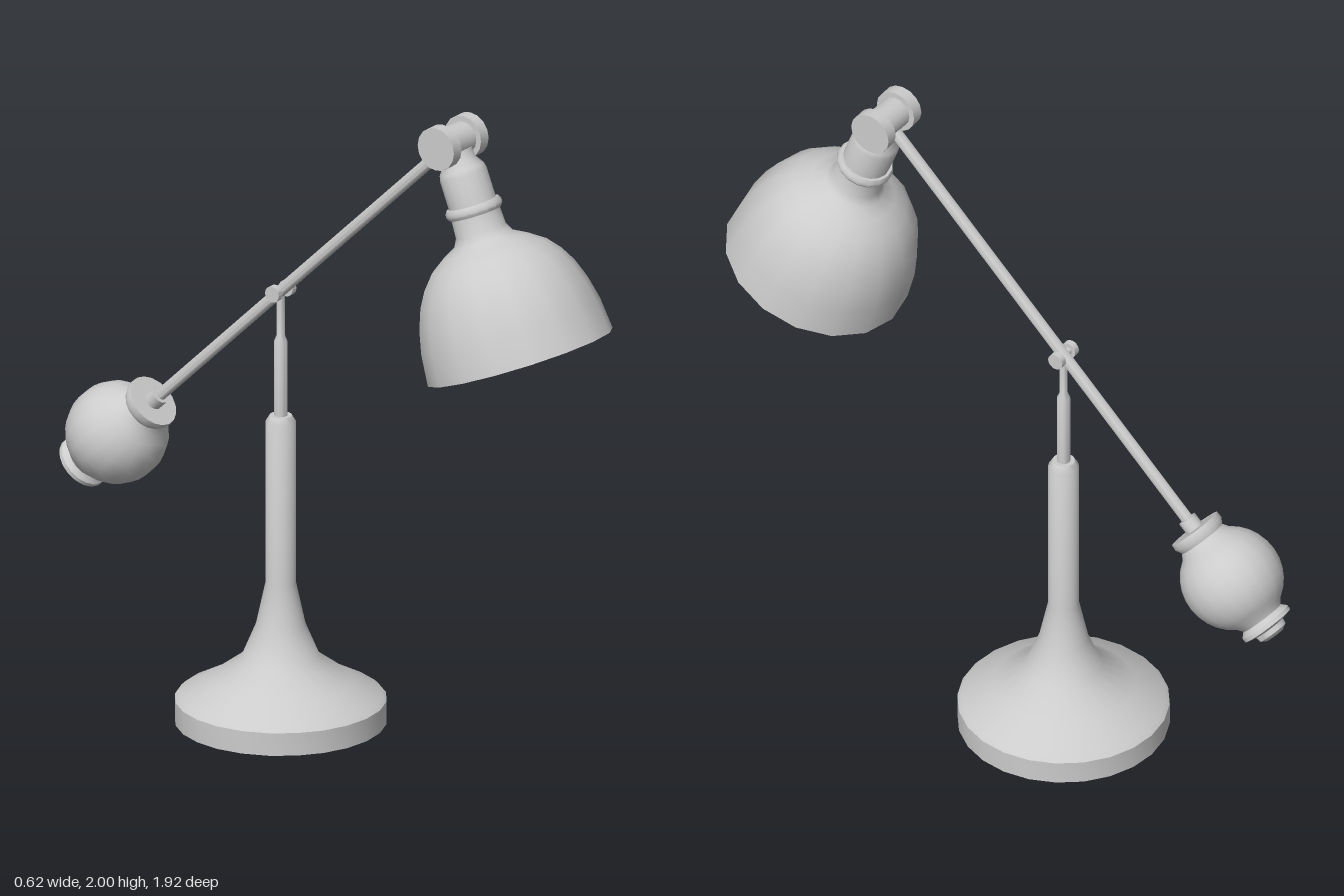
import * as THREE from 'three';
import { toCreasedNormals } from 'three/addons/utils/BufferGeometryUtils.js';

const grey = new THREE.MeshStandardMaterial({ color: 0xcccccc });

function addMesh(parent, name, geometry) {
  const mesh = new THREE.Mesh(toCreasedNormals(geometry, 0.7), grey);
  mesh.name = name;
  parent.add(mesh);
  return mesh;
}

// Turned part; points are [radius, height], running upwards on the outside
function turned(parent, name, points, sides = 16) {
  const profile = points.map(([r, y]) => new THREE.Vector2(r, y));
  return addMesh(parent, name, new THREE.LatheGeometry(profile, sides));
}

// Turned part that hangs down; points are [radius, distance below the top]
function hanging(parent, name, points, sides = 16) {
  return turned(parent, name, points.map(([r, d]) => [r, -d]).reverse(), sides);
}

// Cylinder lying along x
function crossPin(parent, name, radius, width, x, y, z) {
  const geometry = new THREE.CylinderGeometry(radius, radius, width, 16).rotateZ(Math.PI / 2);
  addMesh(parent, name, geometry).position.set(x, y, z);
}

export function createModel() {
  const lamp = new THREE.Group();
  lamp.name = 'balanceArmLamp';

  // Flared base and telescopic post
  const stand = new THREE.Group();
  stand.name = 'stand';
  stand.position.z = -0.177;
  lamp.add(stand);
  turned(stand, 'base', [
    [0, 0], [0.312, 0], [0.312, 0.07], [0.3, 0.082], [0.21, 0.13], [0.115, 0.2],
    [0.073, 0.3], [0.045, 0.43], [0.045, 0.93], [0.033, 0.95], [0, 0.95],
  ], 24);
  turned(stand, 'post', [
    [0, 0.94], [0.02, 0.94], [0.02, 1.18], [0.012, 1.2], [0.012, 1.335], [0, 1.335],
  ], 12);

  // Pivot joining post and arm
  crossPin(stand, 'pivotAxle', 0.012, 0.08, 0, 1.337, 0);
  for (const side of [-1, 1]) crossPin(stand, 'pivotKnob', 0.025, 0.02, side * 0.034, 1.337, 0);

  // Hinge spool at the top of the arm
  const hinge = new THREE.Group();
  hinge.name = 'hinge';
  hinge.position.set(0, 1.935, 0.45);
  lamp.add(hinge);
  crossPin(hinge, 'hingeBarrel', 0.049, 0.1, 0, 0, 0);
  for (const side of [-1, 1]) crossPin(hinge, 'hingeDisc', 0.066, 0.038, side * 0.067, 0, 0);

  // Sloping arm with the counterweight at its lower end
  const arm = new THREE.Group();
  arm.name = 'arm';
  arm.rotation.x = 0.809;
  hinge.add(arm);
  hanging(arm, 'armRod', [[0, 0.02], [0.018, 0.02], [0.018, 1.56], [0, 1.56]], 12);
  hanging(arm, 'armFerrule', [[0, 1.47], [0.029, 1.47], [0.029, 1.53], [0, 1.53]], 12);

  const ball = [];
  for (let i = 0; i <= 10; i++) {
    const a = 0.6 + (i / 10) * (Math.PI - 1.16);
    ball.push([0.153 * Math.sin(a), -0.153 * Math.cos(a)]);
  }
  const weight = hanging(arm, 'counterweight', [
    [0, -0.182], [0.083, -0.182], [0.085, -0.165], [0.074, -0.145],
    ...ball,
    [0.068, 0.147], [0.083, 0.162], [0.083, 0.175], [0.05, 0.183],
    [0.047, 0.2], [0.03, 0.21], [0, 0.212],
  ], 18);
  weight.position.y = -1.689;

  // Lamp head: socket, collar and bell shade
  const head = new THREE.Group();
  head.name = 'lampHead';
  head.rotation.x = -0.375;
  hinge.add(head);
  hanging(head, 'socket', [
    [0, 0.03], [0.048, 0.03], [0.05, 0.058], [0.068, 0.085], [0.072, 0.1], [0.072, 0.21], [0, 0.21],
  ]);
  hanging(head, 'collar', [
    [0, 0.19], [0.08, 0.19], [0.086, 0.2], [0.086, 0.212], [0.079, 0.222], [0, 0.222],
  ]);
  hanging(head, 'shade', [
    [0.074, 0.215], [0.077, 0.275], [0.09, 0.3], [0.13, 0.322], [0.178, 0.355], [0.212, 0.395],
    [0.238, 0.44], [0.26, 0.5], [0.276, 0.57], [0.285, 0.666],
    // inner wall
    [0.273, 0.666], [0.264, 0.57], [0.248, 0.5], [0.226, 0.44], [0.2, 0.4],
    [0.166, 0.362], [0.12, 0.334], [0, 0.315],
  ]);

  return lamp;
}
